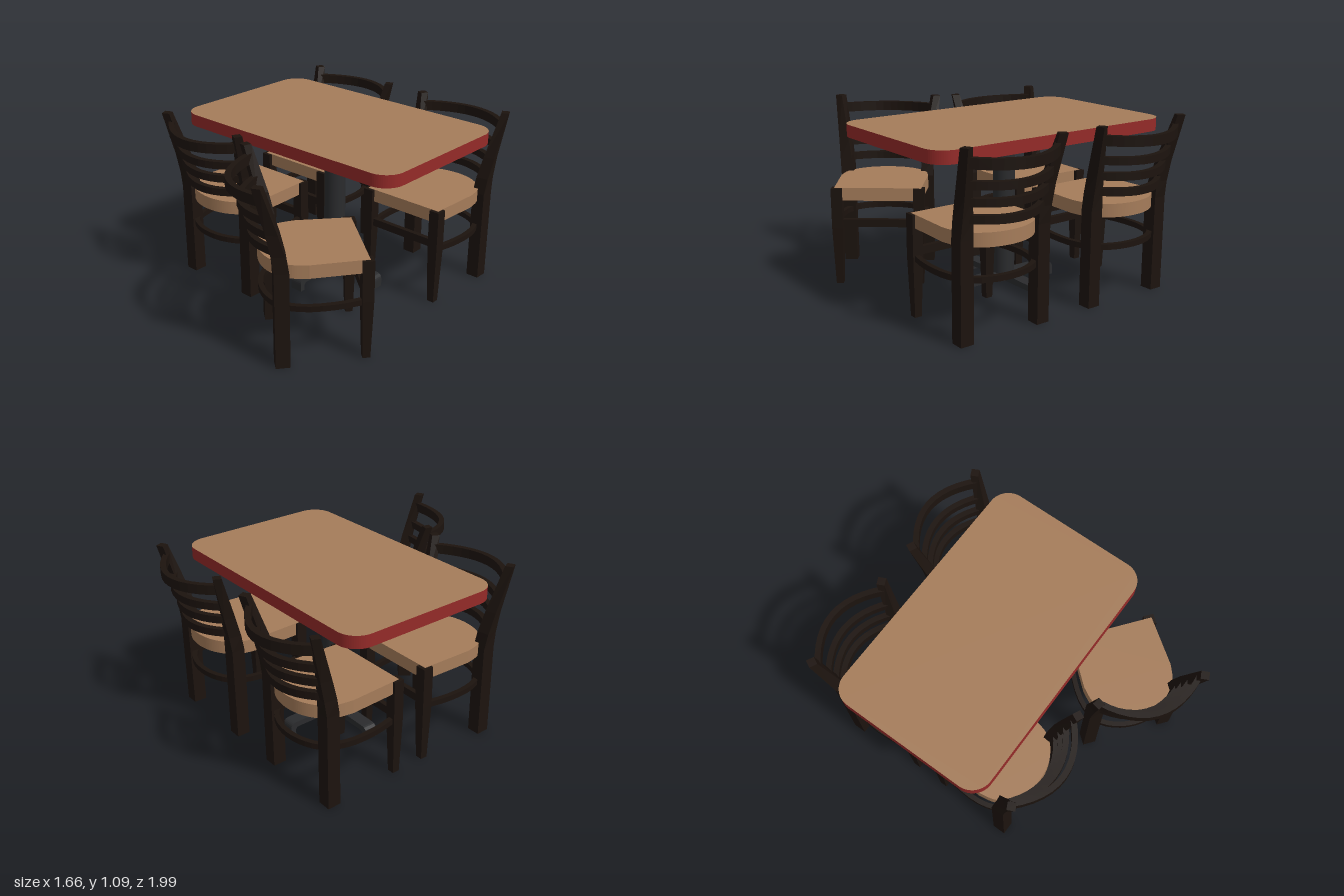
import * as THREE from 'three';

const V = (x, y, z) => new THREE.Vector3(x, y, z);
const paint = (color, extra = {}) => new THREE.MeshStandardMaterial({ color, ...extra });
const darkWood = paint(0x1c130e, { flatShading: true });
const tan = paint(0xa57c5a);
const red = paint(0x942a28);
const iron = paint(0x2a2b2d);

function add(parent, name, geometry, material, x = 0, y = 0, z = 0) {
  const mesh = new THREE.Mesh(geometry, material);
  mesh.name = name;
  mesh.position.set(x, y, z);
  parent.add(mesh);
  return mesh;
}

// Four corners around c, counter-clockwise about a x b
const ring = (c, a, b) => [[1, 1], [-1, 1], [-1, -1], [1, -1]].map(
  ([i, j]) => c.clone().addScaledVector(a, i).addScaledVector(b, j));

// Skin a row of four-cornered cross-sections, with end caps
function loft(rings) {
  const pos = [], idx = [];
  rings.forEach(r => r.forEach(p => pos.push(p.x, p.y, p.z)));
  for (let k = 0; k < rings.length - 1; k++) {
    for (let i = 0; i < 4; i++) {
      const a = k * 4 + i, b = k * 4 + (i + 1) % 4;
      idx.push(a, b, b + 4, a, b + 4, a + 4);
    }
  }
  const e = (rings.length - 1) * 4;
  idx.push(0, 2, 1, 0, 3, 2, e, e + 1, e + 2, e, e + 2, e + 3);
  const g = new THREE.BufferGeometry();
  g.setAttribute('position', new THREE.Float32BufferAttribute(pos, 3));
  g.setIndex(idx);
  const flat = g.toNonIndexed();
  flat.computeVertexNormals();
  return flat;
}

// Upright post from stations [x, y, z, half size, yaw]
const post = stations => loft(stations.map(([x, y, z, h, yaw = 0]) => ring(V(x, y, z),
  V(Math.sin(yaw) * h, 0, Math.cos(yaw) * h), V(Math.cos(yaw) * h, 0, -Math.sin(yaw) * h))));

// Flat strip of wood following a curve
function band(curve, segments, height, thickness) {
  const rings = [];
  for (let i = 0; i <= segments; i++) {
    const t = curve.getTangent(i / segments).setY(0).normalize();
    const up = V(0, height / 2, 0);
    const out = t.cross(V(0, 1, 0)).multiplyScalar(thickness / 2);
    rings.push(ring(curve.getPoint(i / segments), up, out));
  }
  return loft(rings);
}

// Horizontal slab from a plan outline (shape y becomes z), top face at y = 0
const slab = (shape, depth) =>
  new THREE.ExtrudeGeometry(shape, { depth, bevelEnabled: false, curveSegments: 8 }).rotateX(Math.PI / 2);

// Chair facing +z, with its origin midway between the back legs
function makeChair(name) {
  const chair = new THREE.Group();
  chair.name = name;

  // Seat: rounded back, straight sides and front
  const half = [[0.278, 0.15], [0.256, 0.05], [0.2, -0.025], [0.11, -0.077], [0, -0.095]];
  const back = [...half, ...half.slice(0, -1).reverse().map(([x, z]) => [-x, z])];
  const outline = new THREE.Shape().moveTo(0.265, 0.48);
  outline.lineTo(0.278, 0.15);
  outline.splineThru(back.slice(1).map(([x, z]) => new THREE.Vector2(x, z)));
  outline.lineTo(-0.265, 0.48);
  outline.closePath();
  add(chair, 'seat', slab(outline, 0.08), tan, 0, 0.61, 0);

  // Legs; the back pair continue up as raked posts
  for (const s of [1, -1]) {
    add(chair, s > 0 ? 'leftBackPost' : 'rightBackPost', post([
      [s * 0.257, 0, 0, 0.041], [s * 0.257, 0.58, 0, 0.041],
      [s * 0.262, 0.68, -0.012, 0.038, s * 0.12], [s * 0.275, 0.81, -0.04, 0.033, s * 0.25],
      [s * 0.31, 1.085, -0.115, 0.024, s * 0.45],
    ]), darkWood);
    add(chair, s > 0 ? 'leftFrontLeg' : 'rightFrontLeg', post([
      [s * 0.25, 0, 0.468, 0.022], [s * 0.25, 0.36, 0.468, 0.033], [s * 0.25, 0.608, 0.468, 0.033],
    ]), darkWood);
  }

  // Bowed back slats: [height, end half width, end z, middle z, slat height]
  const slats = [[0.695, 0.262, -0.015, -0.13, 0.045], [0.79, 0.272, -0.037, -0.15, 0.045],
    [0.885, 0.285, -0.06, -0.18, 0.045], [1.005, 0.3, -0.092, -0.238, 0.058]];
  slats.forEach(([y, w, zEnd, zMid, h], i) => {
    const bow = new THREE.QuadraticBezierCurve3(
      V(-w, y, zEnd), V(0, y - 0.02, 2 * zMid - zEnd), V(w, y, zEnd));
    add(chair, 'backSlat' + (i + 1), band(bow, 12, h, 0.034), darkWood);
  });

  // Front rail and the hoop stretcher around sides and back
  add(chair, 'frontRail', new THREE.BoxGeometry(0.48, 0.048, 0.03), darkWood, 0, 0.388, 0.468);
  const hoop = new THREE.CatmullRomCurve3([[-0.25, 0.46], [-0.28, 0.3], [-0.275, 0.12], [-0.22, 0],
    [-0.12, -0.06], [0, -0.08], [0.12, -0.06], [0.22, 0], [0.275, 0.12], [0.28, 0.3], [0.25, 0.46]]
    .map(([x, z]) => V(x, 0.354, z)));
  add(chair, 'hoopStretcher', band(hoop, 28, 0.034, 0.03), darkWood);
  return chair;
}

function makeTable() {
  const table = new THREE.Group();
  table.name = 'table';

  // Rounded-corner top with a coloured edge
  const w = 0.822, d = 0.515, r = 0.125;
  const plan = new THREE.Shape();
  plan.absarc(w - r, d - r, r, 0, Math.PI / 2);
  plan.absarc(r - w, d - r, r, Math.PI / 2, Math.PI);
  plan.absarc(r - w, r - d, r, Math.PI, Math.PI * 1.5);
  plan.absarc(w - r, r - d, r, Math.PI * 1.5, Math.PI * 2);
  plan.closePath();
  add(table, 'tableTop', slab(plan, 0.075), [tan, red], 0, 1.035, 0);

  // Mounting plate, collar, column and hub
  add(table, 'mountingPlate', new THREE.BoxGeometry(0.26, 0.015, 0.31), iron, 0, 0.953, 0);
  add(table, 'plateBoss', new THREE.CylinderGeometry(0.115, 0.1, 0.018, 24), iron, 0, 0.937, 0);
  add(table, 'collar', new THREE.CylinderGeometry(0.08, 0.074, 0.03, 24), iron, 0, 0.915, 0);
  add(table, 'column', new THREE.CylinderGeometry(0.067, 0.067, 0.84, 24), iron, 0, 0.5, 0);
  add(table, 'hub', new THREE.CylinderGeometry(0.062, 0.062, 0.06, 24), iron, 0, 0.07, 0);

  // Four arms that turn down to the floor
  const arm = new THREE.Shape().moveTo(0, 0.05);
  arm.lineTo(0.3, 0.05);
  arm.quadraticCurveTo(0.327, 0.05, 0.327, 0.028);
  arm.lineTo(0.327, 0);
  arm.lineTo(0.362, 0);
  arm.lineTo(0.362, 0.045);
  arm.quadraticCurveTo(0.362, 0.085, 0.32, 0.085);
  arm.lineTo(0, 0.09);
  arm.closePath();
  const armGeometry = new THREE.ExtrudeGeometry(arm, { depth: 0.08, bevelEnabled: false, curveSegments: 6 })
    .translate(0, 0, -0.04);
  for (let i = 0; i < 4; i++) {
    add(table, 'baseArm' + (i + 1), armGeometry, iron).rotation.y = i * Math.PI / 2;
  }
  return table;
}

export function createModel() {
  const model = new THREE.Group();
  model.name = 'diningSet';
  const table = makeTable();
  table.position.set(-0.008, 0, -0.168);
  model.add(table);

  // Chairs: [name, x, z, turn]; one is pulled out at an angle
  [['backRightChair', -0.45, -0.745, 0], ['backLeftChair', 0.45, -0.745, 0],
    ['frontRightChair', -0.45, 0.41, Math.PI], ['frontLeftChair', 0.298, 0.679, 2.473],
  ].forEach(([name, x, z, turn]) => {
    const chair = makeChair(name);
    chair.position.set(x, 0, z);
    chair.rotation.y = turn;
    model.add(chair);
  });
  return model;
}
